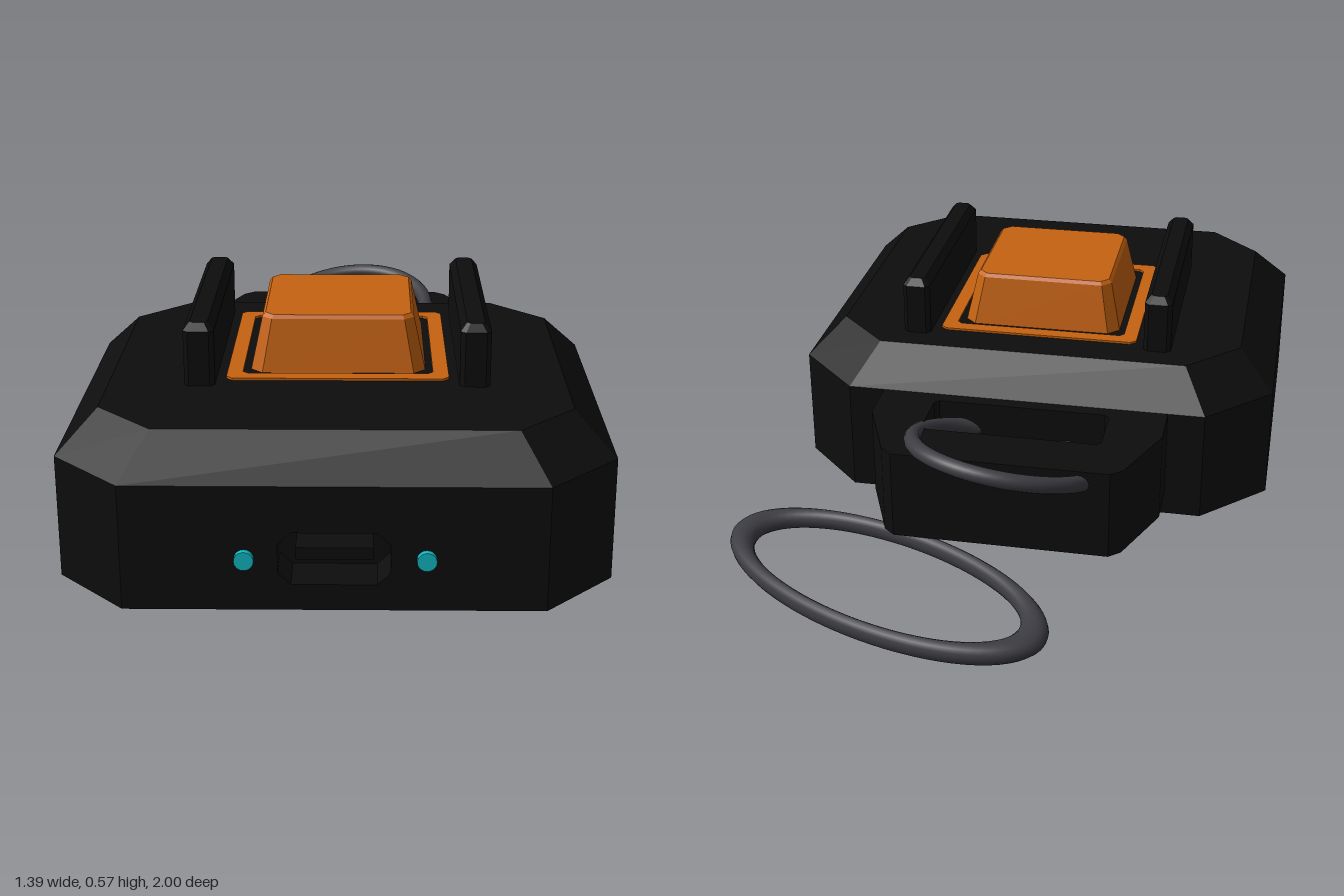
import * as THREE from 'three';

const CX = -0.033; // centre line of the casing
const CZ = 0.392;

// Corner-cut rectangle, ordered from +x towards +z
function cutRect(hx, hz, c) {
  return [[hx, -hz + c], [hx, hz - c], [hx - c, hz], [-hx + c, hz],
    [-hx, hz - c], [-hx, -hz + c], [-hx + c, -hz], [hx - c, -hz]];
}

// Joins cut rectangles [halfX, halfZ, cut, y] into a flat-faced solid
function loft(sections, { bottom = true, skip = () => false } = {}) {
  const rings = sections.map(([hx, hz, c, y]) => cutRect(hx, hz, c).map(([x, z]) => [x, y, z]));
  const pos = [];
  const tri = (...pts) => pts.forEach((p) => pos.push(...p));
  for (let r = 0; r < rings.length - 1; r++) {
    for (let i = 0; i < 8; i++) {
      if (skip(r, i)) continue;
      const j = (i + 1) % 8, lo = rings[r], hi = rings[r + 1];
      tri(lo[i], hi[i], lo[j]);
      tri(lo[j], hi[i], hi[j]);
    }
  }
  const first = rings[0], last = rings[rings.length - 1];
  for (let i = 0; i < 8; i++) {
    const j = (i + 1) % 8;
    tri([0, last[0][1], 0], last[j], last[i]);
    if (bottom) tri([0, first[0][1], 0], first[i], first[j]);
  }
  const g = new THREE.BufferGeometry();
  g.setAttribute('position', new THREE.Float32BufferAttribute(pos, 3));
  g.computeVertexNormals();
  return g;
}

const toShape = (pts) => new THREE.Shape(pts.map(([x, y]) => new THREE.Vector2(x, y)));
const toPath = (pts) => new THREE.Path(pts.map(([x, y]) => new THREE.Vector2(x, y)));

// Horizontal slab whose shape is drawn in x and z
function slab(shape, yLow, yHigh) {
  return new THREE.ExtrudeGeometry(shape, { depth: yHigh - yLow, bevelEnabled: false })
    .rotateX(Math.PI / 2).translate(0, yHigh, 0);
}

export function createModel() {
  const model = new THREE.Group();
  model.name = 'keyringButton';
  const material = (name, color, side = THREE.FrontSide) => {
    const m = new THREE.MeshStandardMaterial({ color, side });
    m.name = name;
    return m;
  };
  const black = material('black plastic', 0x0d0d0d, THREE.DoubleSide);
  const orange = material('orange plastic', 0xc46210);
  const cyan = material('cyan light', 0x10bcc8);
  const metal = material('dark metal', 0x3c3c42);
  const add = (name, geometry, mat, x = 0, y = 0, z = 0) => {
    const mesh = new THREE.Mesh(geometry, mat);
    mesh.name = name;
    mesh.position.set(x, y, z);
    model.add(mesh);
    return mesh;
  };

  // Casing: open underneath and at the front wall, which are filled below
  add('casing', loft([
    [0.665, 0.593, 0.172, 0],
    [0.665, 0.593, 0.172, 0.31],
    [0.567, 0.495, 0.14, 0.41],
  ], { bottom: false, skip: (r, i) => r === 0 && i === 2 }), black, CX, 0, CZ);

  // Underside with two screw wells
  const base = toShape(cutRect(0.665, 0.593, 0.172));
  for (const s of [-1, 1]) {
    base.holes.push(new THREE.Path().absarc(s * 0.42, 0.02, 0.06, 0, Math.PI * 2));
    add('screwWell', new THREE.CylinderGeometry(0.06, 0.06, 0.06, 24, 1, true), black, CX + s * 0.42, 0.03, CZ + 0.02);
    add('screwHead', new THREE.CylinderGeometry(0.06, 0.06, 0.01, 24), black, CX + s * 0.42, 0.06, CZ + 0.02);
  }
  add('underside', new THREE.ShapeGeometry(base, 24).rotateX(Math.PI / 2), black, CX, 0, CZ);

  // Front wall with a charging socket
  const wall = toShape([[-0.493, 0], [0.493, 0], [0.493, 0.31], [-0.493, 0.31]]);
  wall.holes.push(toPath(cutRect(0.13, 0.065, 0.03).map(([x, y]) => [x, y + 0.13])));
  add('frontWall', new THREE.ExtrudeGeometry(wall, { depth: 0.12, bevelEnabled: false }), black, CX, 0, CZ + 0.473);
  add('socketBack', new THREE.BoxGeometry(0.28, 0.15, 0.02), black, CX, 0.13, CZ + 0.473);
  add('socketTongue', new THREE.BoxGeometry(0.18, 0.03, 0.09), black, CX, 0.13, CZ + 0.52);

  // Status lights either side of the socket
  for (const s of [-1, 1]) {
    add('statusLight', new THREE.CylinderGeometry(0.023, 0.023, 0.03, 20).rotateX(Math.PI / 2),
      cyan, CX + 0.003 + s * 0.21, 0.13, 0.985);
  }

  // Guard rails beside the button
  for (const s of [-1, 1]) {
    add('guardRail', loft([
      [0.038, 0.316, 0.012, 0.38],
      [0.038, 0.316, 0.012, 0.55],
      [0.022, 0.3, 0.008, 0.57],
    ]), black, CX + s * 0.34, 0, 0.285);
  }

  // Button surround and tapered cap
  const frame = toShape(cutRect(0.278, 0.278, 0.015));
  frame.holes.push(toPath(cutRect(0.239, 0.239, 0.012)));
  add('buttonSurround', slab(frame, 0.4, 0.416), orange, CX, 0, 0.28);
  add('buttonCap', loft([
    [0.222, 0.222, 0.03, 0.405],
    [0.192, 0.192, 0.025, 0.543],
    [0.184, 0.184, 0.022, 0.552],
  ]), orange, CX, 0, 0.28);

  // Lug at the back
  const half = [[0.393, 0.3], [0.393, -0.33], [0.315, -0.52], [0.285, -0.546]].map(([x, z]) => [x, Math.min(z, -0.15)]);
  const mirrored = half.map(([x, z]) => [-x, z]).reverse();
  const lug = toShape([...half, ...mirrored]);
  lug.holes.push(toPath(cutRect(0.24, 0.081, 0.012).map(([x, z]) => [x, z - 0.319])));
  add('keyringLug', slab(lug, 0.065, 0.31), black, CX);

  // Small tilted ring through the lug
  const small = add('smallRing', new THREE.TorusGeometry(0.245, 0.022, 14, 64), metal, -0.025, 0.273, -0.43);
  small.quaternion.setFromUnitVectors(new THREE.Vector3(0, 0, 1), new THREE.Vector3(-0.144, 1, 0.289).normalize());

  // Large oval ring lying flat
  add('largeRing', new THREE.TorusGeometry(0.918, 0.082, 14, 72).rotateX(Math.PI / 2)
    .scale(0.489, 0.335, 0.216).rotateY(-24 * Math.PI / 180), metal, 0.235, 0.037, -0.72);

  return model;
}
